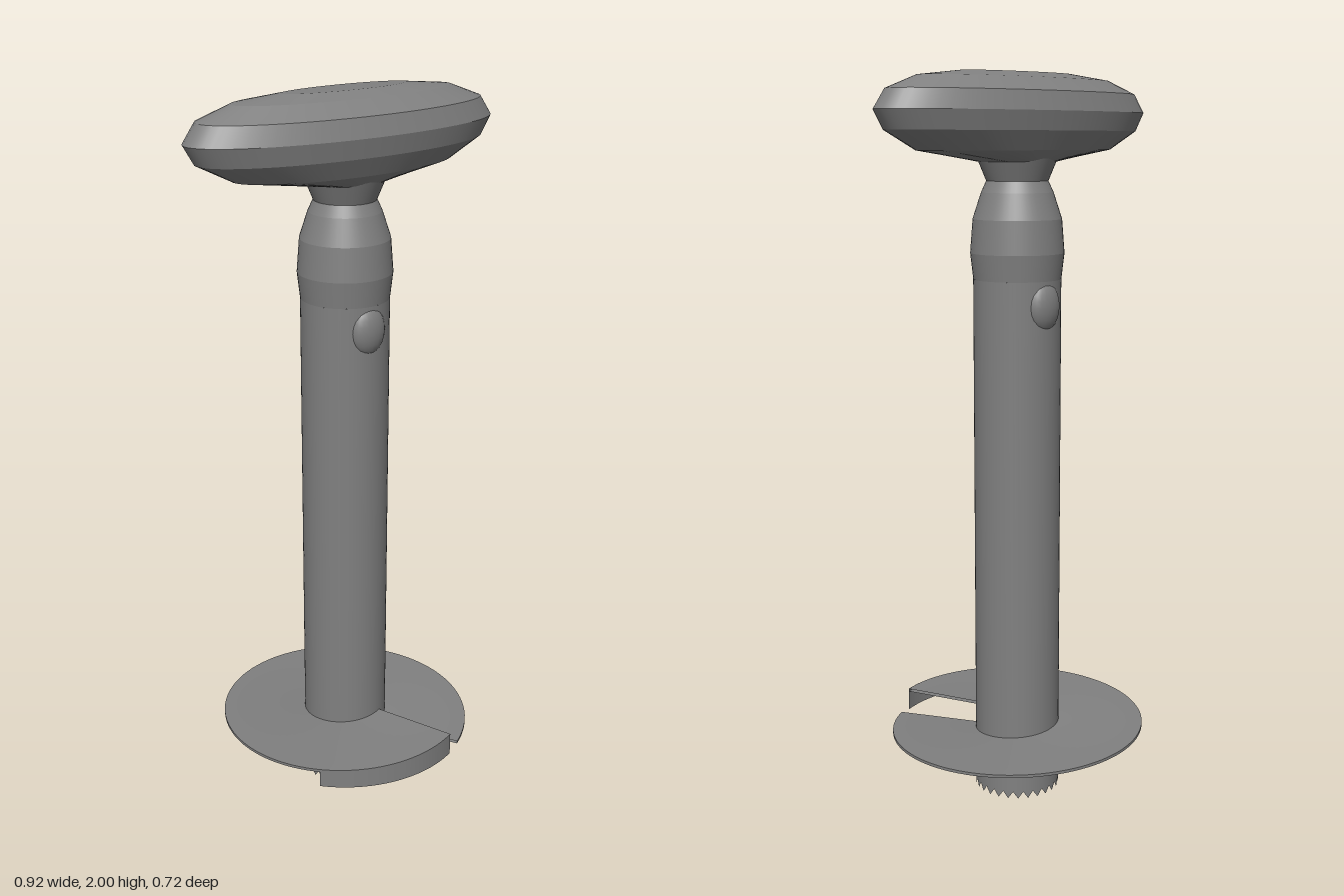
import * as THREE from 'three';
import { mergeGeometries } from 'three/addons/utils/BufferGeometryUtils.js';
import { ParametricGeometry } from 'three/addons/geometries/ParametricGeometry.js';

const lerp = THREE.MathUtils.lerp;
const deg = THREE.MathUtils.degToRad;

// Elliptical rings [y, radiusX, radiusZ] joined bottom to top: smooth around, crisp between bands
function loft(rings, segments) {
  const bands = [];
  for (let i = 0; i + 1 < rings.length; i++) {
    const [a, b] = [rings[i], rings[i + 1]];
    bands.push(new ParametricGeometry((u, v, p) => {
      const t = u * Math.PI * 2;
      p.set(lerp(a[1], b[1], v) * Math.sin(t), lerp(a[0], b[0], v), lerp(a[2], b[2], v) * Math.cos(t));
    }, segments, 1));
  }
  return mergeGeometries(bands);
}

export function createModel() {
  const model = new THREE.Group();
  const grey = new THREE.MeshStandardMaterial({ color: 0x808080, side: THREE.DoubleSide });
  grey.name = 'grey';
  const add = (name, geometry) => {
    const mesh = new THREE.Mesh(geometry, grey);
    mesh.name = name;
    model.add(mesh);
    return mesh;
  };
  const round = (list) => list.map(([y, r]) => [y, r, r]);

  // Oval handle
  add('handle', loft([
    [1.77, 0.11, 0.1], [1.80, 0.33, 0.125], [1.85, 0.43, 0.15], [1.90, 0.46, 0.16],
    [1.95, 0.425, 0.145], [1.985, 0.33, 0.097], [2.0, 0.19, 0.048], [2.0, 0.001, 0.001],
  ], 64));

  // Neck and shoulder
  add('neck', loft(round([
    [1.46, 0.119], [1.53, 0.127], [1.62, 0.12], [1.69, 0.097], [1.72, 0.083], [1.78, 0.108],
  ]), 48));

  // Hollow shaft ending in a ring of saw teeth
  const radius = 0.119, teeth = 26;
  add('shaft', loft(round([[0.02, radius], [1.46, radius]]), teeth * 2));
  add('cuttingTeeth', new ParametricGeometry((u, v, p) => {
    const t = u * Math.PI * 2;
    const low = Math.round(u * teeth * 2) % 2 ? 0.02 : 0;
    p.set(radius * Math.sin(t), lerp(low, 0.021, v), radius * Math.cos(t));
  }, teeth * 2, 1));

  // Rounded bumps on the front and back of the shaft
  for (const side of [1, -1]) {
    const bump = add(side > 0 ? 'frontBump' : 'backBump', new THREE.SphereGeometry(1, 20, 12));
    bump.scale.set(0.052, 0.068, 0.032);
    bump.position.set(0, 1.392, side * 0.102);
  }

  // One-turn spiral blade, high at its open end and dropping around the back
  const outer = 0.358, inner = 0.1, thick = 0.008;
  const start = deg(22.3), sweep = deg(352);
  const bladeTop = (u) => lerp(0.222, 0.168, u);
  const sheet = (ra, rb, da, db) => new ParametricGeometry((u, v, p) => {
    const t = start - u * sweep, r = lerp(ra, rb, v);
    p.set(r * Math.sin(t), bladeTop(u) - lerp(da, db, v), r * Math.cos(t));
  }, 96, 1);
  add('spiralBlade', mergeGeometries([
    sheet(inner, outer, 0, 0),
    sheet(outer, outer, 0, thick),
    sheet(outer, inner, thick, thick),
  ]));

  // Thin curved skirt below the high end of the blade
  const skirtSweep = deg(68.3);
  add('bladeSkirt', new ParametricGeometry((u, v, p) => {
    const t = start - (1 - u) * skirtSweep;
    const top = bladeTop((1 - u) * skirtSweep / sweep);
    p.set(outer * Math.sin(t), lerp(0.157, top, v), outer * Math.cos(t));
  }, 24, 1));

  return model;
}
